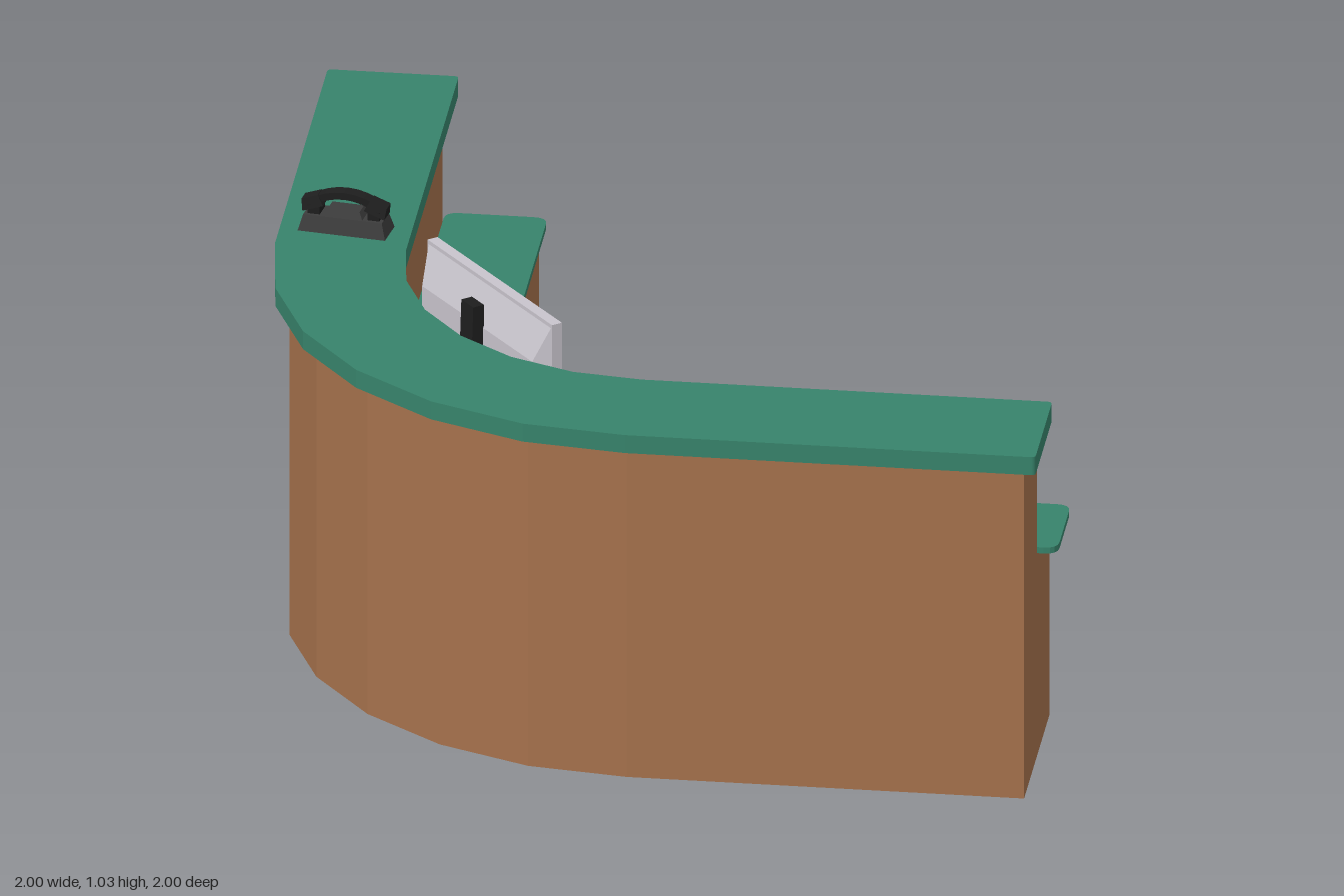
import * as THREE from 'three';

const paint = (color) => new THREE.MeshStandardMaterial({ color });
const GREEN = paint(0x37836b), BROWN = paint(0xa5714c), BLACK = paint(0x1e1e1e);
const CHARCOAL = paint(0x3c3c3c), SILVER = paint(0xc8c4cc), SCREEN = paint(0xcccccc);
const PAPER = paint(0xc4ba98), COVER = paint(0x2a211c);

function add(parent, name, geometry, material, x = 0, y = 0, z = 0) {
  const mesh = new THREE.Mesh(geometry, material);
  mesh.name = name;
  mesh.position.set(x, y, z);
  parent.add(mesh);
  return mesh;
}

// Corner-shaped band: two straight wings joined by a quarter ring of six facets
function band(outer, inner, end, y0, y1, round = 0) {
  const c = 0.02, steps = 6;
  const arc = (r) => Array.from({ length: steps + 1 }, (_, i) => {
    const a = (i / steps) * Math.PI / 2;
    return new THREE.Vector2(-c - r * Math.cos(a), -(c + r * Math.sin(a)));
  });
  const v = (x, z) => new THREE.Vector2(x, -z);
  const corners = [v(-c - outer, -end), v(end, c + outer), v(end, c + inner), v(-c - inner, -end)];
  const loop = [corners[0], ...arc(outer), corners[1], corners[2], ...arc(inner).reverse(), corners[3]];
  const pts = [];
  loop.forEach((p, i) => {
    if (!round || !corners.includes(p)) return pts.push(p);
    const toward = (q) => p.clone().add(q.clone().sub(p).setLength(round));
    const a = toward(loop.at(i - 1)), b = toward(loop[(i + 1) % loop.length]);
    pts.push(...new THREE.QuadraticBezierCurve(a, p, b).getPoints(4));
  });
  const geo = new THREE.ExtrudeGeometry(new THREE.Shape(pts), { depth: y1 - y0, bevelEnabled: false });
  return geo.rotateX(-Math.PI / 2).translate(0, y0, 0);
}

// Side profile in x and y, extruded evenly about z = 0
function slab(points, depth) {
  const shape = new THREE.Shape(points.map(([x, y]) => new THREE.Vector2(x, y)));
  return new THREE.ExtrudeGeometry(shape, { depth, bevelEnabled: false }).translate(0, 0, -depth / 2);
}

// Box whose chosen end is narrowed
function taperedBox(w, h, d, axis, sign, sx, sOther) {
  const geo = new THREE.BoxGeometry(w, h, d).toNonIndexed();
  const p = geo.attributes.position;
  for (let i = 0; i < p.count; i++) {
    if (p.getComponent(i, axis) * sign <= 0) continue;
    p.setX(i, p.getX(i) * sx);
    const other = axis === 1 ? 2 : 1;
    p.setComponent(i, other, p.getComponent(i, other) * sOther);
  }
  geo.computeVertexNormals();
  return geo;
}

function createMonitor() {
  const g = new THREE.Group();
  g.name = 'monitor';
  const w = 0.575, h = 0.355, y = 0.833;
  // Casing with a raised frame around the screen
  add(g, 'casing', new THREE.BoxGeometry(w, h, 0.022), SILVER, 0, y, 0);
  for (const s of [-1, 1]) {
    add(g, 'sideBezel', new THREE.BoxGeometry(0.014, h, 0.006), SILVER, s * (w / 2 - 0.007), y, 0.014);
    add(g, 'edgeBezel', new THREE.BoxGeometry(w - 0.028, 0.014, 0.006), SILVER, 0, y + s * (h / 2 - 0.007), 0.014);
  }
  add(g, 'screen', new THREE.BoxGeometry(w - 0.028, h - 0.028, 0.002), SCREEN, 0, y, 0.012);
  add(g, 'rearHousing', taperedBox(w - 0.01, h - 0.02, 0.036, 2, -1, 0.9, 0.45), SILVER, 0, y, -0.029);
  // Stand: foot plate, leaning neck and upright bracket
  add(g, 'standFoot', new THREE.BoxGeometry(0.29, 0.01, 0.12), BLACK, 0, 0.561, 0.01);
  const neck = slab([[-0.03, 0.56], [0.04, 0.56], [-0.045, 0.72], [-0.045, 0.97], [-0.075, 0.97], [-0.085, 0.7]], 0.055);
  add(g, 'standNeck', neck.rotateY(-Math.PI / 2), BLACK);
  g.position.set(-0.425, 0, 0.34);
  g.rotation.y = 2.25;
  return g;
}

function createPhone() {
  const g = new THREE.Group();
  g.name = 'telephone';
  // Base with two cradle posts
  add(g, 'phoneBase', taperedBox(0.22, 0.04, 0.085, 1, 1, 0.9, 0.75), CHARCOAL, 0, 0.02, 0);
  add(g, 'keypad', taperedBox(0.1, 0.02, 0.06, 1, 1, 0.8, 0.7), CHARCOAL, 0, 0.048, 0);
  for (const s of [-1, 1]) {
    add(g, 'cradle', new THREE.BoxGeometry(0.03, 0.03, 0.045), BLACK, s * 0.075, 0.048, 0);
    const cap = add(g, 'handsetEnd', taperedBox(0.055, 0.028, 0.05, 1, 1, 0.8, 0.7), BLACK, s * 0.082, 0.068, 0);
    cap.rotation.z = -s * 0.35;
  }
  // Arched handset grip
  const outer = [], inner = [];
  for (let i = 0; i <= 8; i++) {
    const t = i / 4 - 1;
    outer.push([t * 0.1, 0.102 - 0.032 * t * t]);
    inner.unshift([t * 0.09, 0.084 - 0.03 * t * t]);
  }
  add(g, 'handset', slab([...inner.reverse(), ...outer.reverse()], 0.034), BLACK);
  g.position.set(-0.84, 0.93, -0.085);
  g.rotation.y = -0.15;
  return g;
}

function createBook() {
  const g = new THREE.Group();
  g.name = 'openBook';
  // Half profile of curling leaves, mirrored about the spine
  const top = [[0, 0.016], [0.02, 0.032], [0.045, 0.039], [0.075, 0.032], [0.108, 0.018]];
  const low = [[0.108, 0.01], [0.075, 0.022], [0.045, 0.026], [0.02, 0.018], [0, 0.005]];
  const under = [[0.116, 0.004], [0.075, 0.013], [0.045, 0.016], [0.02, 0.008], [0, 0]];
  const cover = [...low.slice().reverse(), [0.116, 0.01], ...under];
  for (const s of [-1, 1]) {
    const side = (pts) => pts.map(([x, y]) => [s * x, y]);
    add(g, 'pages', slab(side([...top, ...low]), 0.19), PAPER);
    add(g, 'bookCover', slab(side(cover), 0.2), COVER);
  }
  g.position.set(-0.593, 0.557, -0.163);
  g.rotation.y = 1.29;
  return g;
}

export function createModel() {
  const model = new THREE.Group();
  model.name = 'receptionDesk';
  // Desk body: deep base, thin upper wall
  add(model, 'deskBase', band(0.945, 0.46, 0.95, 0, 0.54), BROWN);
  add(model, 'upperWall', band(0.945, 0.695, 0.95, 0.54, 0.885), BROWN);
  // Work surface and raised counter
  add(model, 'workSurface', band(0.695, 0.445, 1.0, 0.54, 0.556, 0.035), GREEN);
  add(model, 'counterTop', band(0.98, 0.66, 0.982, 0.882, 0.93, 0.012), GREEN);
  // Items on the desk
  model.add(createMonitor(), createPhone(), createBook());
  return model;
}
